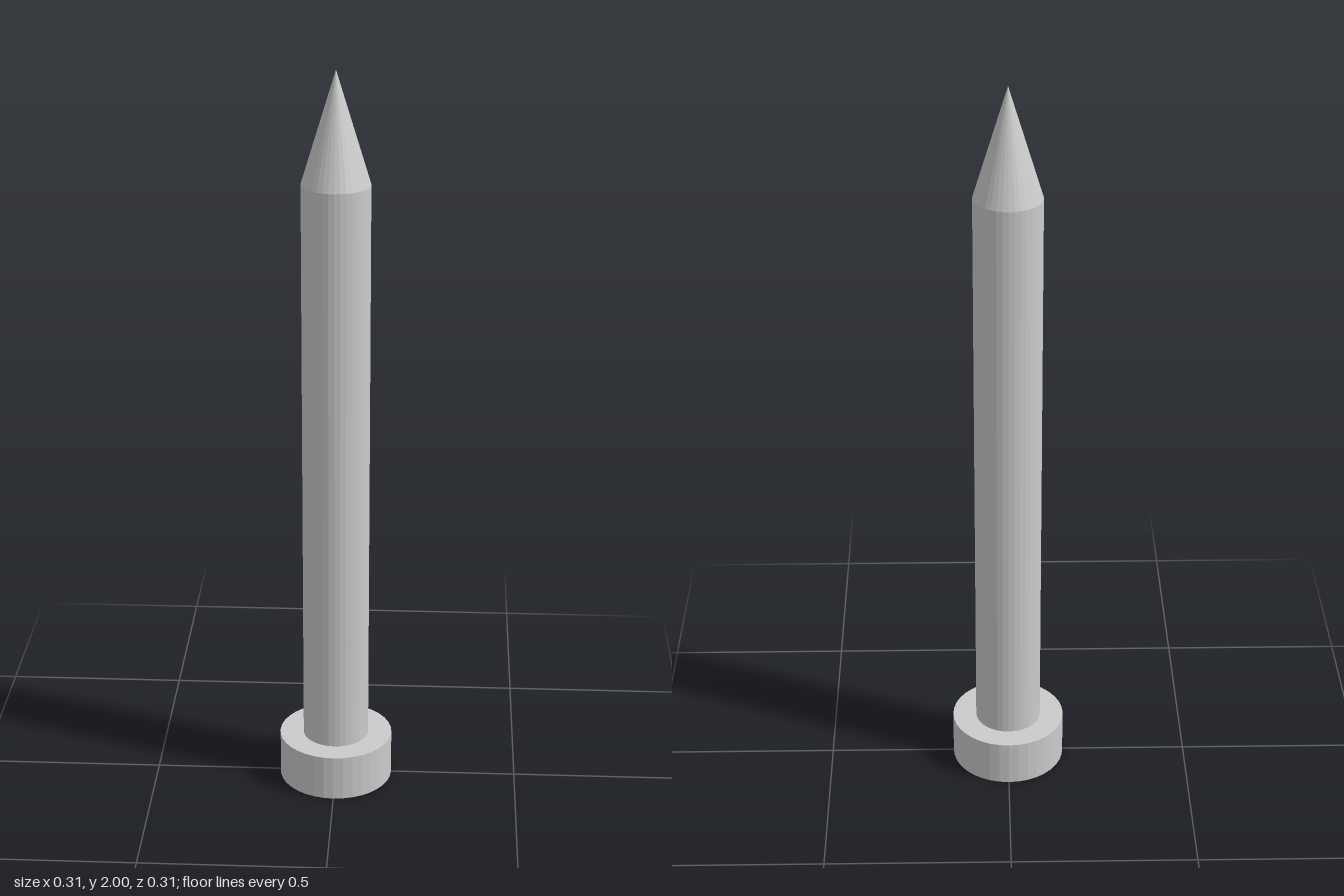
import * as THREE from 'three';

const SIDES = 36;

export function createModel() {
  const group = new THREE.Group();
  group.name = 'nail';
  const material = new THREE.MeshStandardMaterial({ color: 0xcccccc, flatShading: true });

  // Adds a round section standing between two heights
  function addSection(name, bottomRadius, topRadius, y0, y1) {
    const geometry = new THREE.CylinderGeometry(topRadius, bottomRadius, y1 - y0, SIDES);
    const mesh = new THREE.Mesh(geometry, material);
    mesh.name = name;
    mesh.position.y = (y0 + y1) / 2;
    group.add(mesh);
  }

  // Flat disc head, long straight shank and sharp conical point
  addSection('head', 0.155, 0.155, 0, 0.127);
  addSection('shank', 0.09, 0.09, 0.127, 1.705);
  addSection('point', 0.09, 0, 1.705, 2);

  return group;
}
